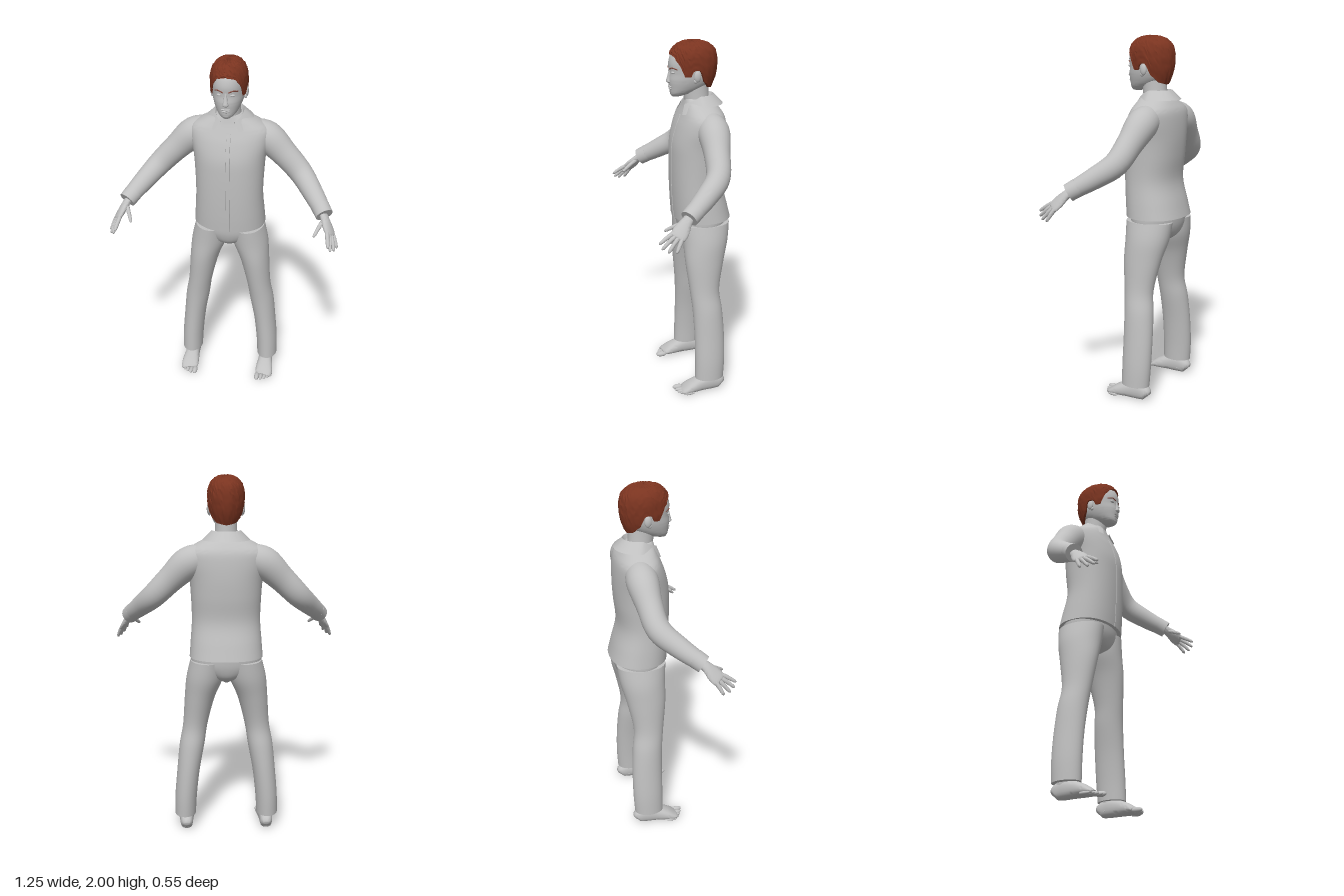
import * as THREE from 'three';
import { toCreasedNormals } from 'three/addons/utils/BufferGeometryUtils.js';

const V3 = (x, y, z) => new THREE.Vector3(x, y, z);

// Smoothly resample rows of numbers (uniform Catmull-Rom on every column).
function resample(rows, steps) {
  const out = [], at = i => rows[Math.min(Math.max(i, 0), rows.length - 1)];
  for (let i = 0; i < rows.length - 1; i++) {
    for (let k = 0; k < steps; k++) {
      const t = k / steps;
      out.push(rows[i].map((p, c) => {
        const a = at(i - 1)[c], b = at(i + 1)[c], d = at(i + 2)[c];
        return p + 0.5 * t * (b - a + t * (2 * a - 5 * p + 4 * b - d + t * (3 * (p - b) + d - a)));
      }));
    }
  }
  out.push(rows[rows.length - 1]);
  return out;
}

function buildMesh(pos, idx, crease = 0.9) {
  const g = new THREE.BufferGeometry();
  g.setAttribute('position', new THREE.Float32BufferAttribute(pos, 3));
  g.setIndex(idx);
  return toCreasedNormals(g, crease);
}

// Closed loft through rows [x, y, z, radiusA, radiusB]. Level lofts keep horizontal
// slices; the others turn each slice square to the path, with "side" as the A axis.
function loft(rows, { n = 28, steps = 5, level = false, side = null, p = 2 } = {}) {
  const r = resample(rows, steps), pos = [], idx = [];
  const pw = v => Math.sign(v) * Math.abs(v) ** (2 / p);
  r.forEach((row, i) => {
    const a = r[Math.max(i - 1, 0)], b = r[Math.min(i + 1, r.length - 1)];
    const T = level ? V3(0, 1, 0) : V3(b[0] - a[0], b[1] - a[1], b[2] - a[2]).normalize();
    const U = level ? V3(1, 0, 0) : side ? side.clone() : V3(0, 1, 0).cross(T);
    U.addScaledVector(T, -U.dot(T)).normalize();
    const W = U.clone().cross(T);
    for (let j = 0; j < n; j++) {
      const t = j / n * Math.PI * 2;
      const q = V3(row[0], row[1], row[2])
        .addScaledVector(U, row[3] * pw(Math.cos(t))).addScaledVector(W, row[4] * pw(Math.sin(t)));
      pos.push(q.x, q.y, q.z);
    }
  });
  const last = (r.length - 1) * n, c0 = r.length * n;
  pos.push(...r[0].slice(0, 3), ...r[r.length - 1].slice(0, 3));
  for (let j = 0; j < n; j++) {
    const k = (j + 1) % n;
    for (let i = 0; i < last; i += n) idx.push(i + j, i + n + j, i + k, i + k, i + n + j, i + n + k);
    idx.push(c0, j, k, c0 + 1, last + k, last + j);
  }
  return buildMesh(pos, idx);
}

const ball = (x, y, z, a, b, c) => new THREE.SphereGeometry(1, 20, 14).scale(a, b, c).translate(x, y, z);

// Short cropped hair: a dome whose lower edge follows the hairline.
function hairGeometry() {
  const line = [[0, 1.93], [0.5, 1.92], [0.85, 1.875], [1.05, 1.815], [1.3, 1.815], [1.42, 1.85],
    [1.7, 1.85], [1.9, 1.79], [2.4, 1.75], [3.15, 1.738]];
  const edge = a => {
    const i = Math.max(1, line.findIndex(l => l[0] >= a)), [p, q] = [line[i - 1], line[i]];
    return p[1] + (q[1] - p[1]) * (a - p[0]) / (q[0] - p[0]);
  };
  let seed = 7;
  const rnd = () => (seed = (seed * 16807) % 2147483647) / 2147483647;
  const n = 72, m = 22, pos = [], idx = [];
  for (let i = 0; i <= m; i++) {
    for (let j = 0; j < n; j++) {
      const a = j / n * Math.PI * 2, low = edge(Math.min(a, Math.PI * 2 - a));
      const y = low + (1.996 - low) * Math.sin(Math.max(i - 1, 0) / (m - 1) * Math.PI / 2);
      let s = y > 1.88 ? Math.max(0, 1 - ((y - 1.88) / 0.116) ** 2.5) ** 0.4 : 1 - 0.28 * ((1.88 - y) / 0.14) ** 2;
      s *= i === 0 ? 0.86 : 1 + (rnd() - 0.5) * 0.045;
      pos.push(0.1 * s * Math.sin(a), y + (i > 1 && i < m ? (rnd() - 0.5) * 0.006 : 0), -0.063 + 0.134 * s * Math.cos(a));
    }
  }
  for (let i = 0; i < m; i++) {
    for (let j = 0; j < n; j++) {
      const a = i * n + j, b = i * n + (j + 1) % n;
      idx.push(a, b, a + n, b, b + n, a + n);
    }
  }
  return buildMesh(pos, idx, 0.6);
}

// Folded shirt collar, open at the throat.
function collarGeometry() {
  const n = 48, pos = [], idx = [];
  for (let j = 0; j <= n; j++) {
    const a = 0.5 + (Math.PI * 2 - 1) * j / n, s = Math.sin(a), c = Math.cos(a), f = Math.max(0, c);
    pos.push(0.066 * s, 1.68 - 0.04 * f, -0.085 + 0.08 * c);
    pos.push(0.078 * s, 1.708 - 0.05 * f, -0.088 + 0.092 * c);
    pos.push(0.128 * s, 1.658 - 0.055 * f, -0.1 + 0.128 * c);
  }
  for (let j = 0; j < n; j++) {
    for (let k = 0; k < 2; k++) {
      const a = j * 3 + k;
      idx.push(a, a + 3, a + 1, a + 1, a + 3, a + 4);
    }
  }
  return buildMesh(pos, idx);
}

export function createModel() {
  const model = new THREE.Group();
  const paint = (name, hex, side = THREE.FrontSide) => {
    const m = new THREE.MeshStandardMaterial({ color: hex, side });
    m.name = name;
    return m;
  };
  const grey = paint('plainGrey', 0xc0c0c0, THREE.DoubleSide);
  const red = paint('auburnHair', 0x7b3420, THREE.DoubleSide);
  const browColour = paint('browBrown', 0x8a5044);
  const add = (name, geo, mat = grey) => {
    const m = new THREE.Mesh(geo, mat);
    m.name = name;
    model.add(m);
  };

  // Shirt body, collar and front placket
  const shirt = [
    [0, 1.02, -0.11, 0.202, 0.16], [0, 1.1, -0.097, 0.196, 0.153], [0, 1.22, -0.08, 0.188, 0.141],
    [0, 1.35, -0.085, 0.192, 0.147], [0, 1.45, -0.09, 0.2, 0.147], [0, 1.54, -0.1, 0.218, 0.134],
    [0, 1.6, -0.107, 0.215, 0.117], [0, 1.64, -0.103, 0.16, 0.097], [0, 1.67, -0.095, 0.1, 0.08], [0, 1.69, -0.09, 0.066, 0.07]];
  add('shirtBody', loft(shirt, { n: 48, level: true, p: 2.25 }));
  add('collar', collarGeometry());
  add('placket', loft(shirt.slice(0, 7).map(([, y, z, , d]) => [0.008, y, z + d - 0.002, 0.012, 0.005]), { n: 8, level: true, p: 4 }));

  // Trouser seat
  add('trouserSeat', loft([[0, 0.88, -0.11, 0.02, 0.06], [0, 0.915, -0.11, 0.11, 0.11],
    [0, 0.97, -0.11, 0.185, 0.133], [0, 1.03, -0.11, 0.195, 0.14]], { n: 40, level: true }));

  // Neck, head and face
  add('neck', loft([[0, 1.6, -0.1, 0.078, 0.07], [0, 1.68, -0.085, 0.062, 0.068], [0, 1.79, -0.075, 0.058, 0.072]], { level: true }));
  add('head', loft([[0, 1.703, 0.027, 0.02, 0.026], [0, 1.72, 0.002, 0.045, 0.06], [0, 1.75, -0.03, 0.066, 0.096],
    [0, 1.79, -0.05, 0.081, 0.12], [0, 1.83, -0.058, 0.087, 0.124], [0, 1.88, -0.06, 0.09, 0.13],
    [0, 1.93, -0.065, 0.086, 0.12], [0, 1.97, -0.065, 0.06, 0.085], [0, 1.985, -0.065, 0.02, 0.03]], { n: 40, level: true, p: 2.1 }));
  add('nose', loft([[0, 1.776, 0.064, 0.012, 0.01], [0, 1.784, 0.068, 0.018, 0.016], [0, 1.796, 0.067, 0.013, 0.015],
    [0, 1.825, 0.064, 0.009, 0.01], [0, 1.85, 0.062, 0.008, 0.006]], { n: 16, level: true }));
  add('upperLip', ball(0, 1.757, 0.063, 0.026, 0.006, 0.009));
  add('lowerLip', ball(0, 1.746, 0.061, 0.022, 0.007, 0.009));
  add('chin', ball(0, 1.72, 0.046, 0.024, 0.015, 0.016));
  add('hair', hairGeometry(), red);

  // Paired parts: s = 1 is the left side, s = -1 the right
  for (const s of [1, -1]) {
    const name = part => (s > 0 ? 'left' : 'right') + part;
    const limb = (part, rows, opts) => add(name(part), loft(rows.map(([x, ...rest]) => [x * s, ...rest]), opts));

    add(name('Eye'), ball(0.033 * s, 1.835, 0.054, 0.015, 0.007, 0.011));
    add(name('Brow'), new THREE.TubeGeometry(new THREE.CatmullRomCurve3(
      [V3(0.014 * s, 1.852, 0.068), V3(0.037 * s, 1.86, 0.06), V3(0.06 * s, 1.853, 0.036)]), 12, 0.0035, 6), browColour);
    add(name('Ear'), ball(0.092 * s, 1.818, -0.064, 0.011, 0.03, 0.019).rotateX(0));
    add(name('EarLobe'), ball(0.088 * s, 1.793, -0.054, 0.008, 0.012, 0.01));

    // Sleeve and cuff
    limb('Sleeve', [[0.1, 1.57, -0.12, 0.07, 0.07], [0.2, 1.538, -0.122, 0.085, 0.087], [0.3, 1.448, -0.11, 0.069, 0.073],
      [0.395, 1.352, -0.085, 0.063, 0.066], [0.468, 1.282, 0, 0.056, 0.057], [0.53, 1.222, 0.09, 0.047, 0.047]]);
    limb('Cuff', [[0.515, 1.237, 0.068, 0.05, 0.05], [0.542, 1.208, 0.11, 0.048, 0.048]], { steps: 1 });

    // Hand with four fingers and a thumb
    limb('Palm', [[0.527, 1.22, 0.09, 0.026, 0.02], [0.547, 1.193, 0.125, 0.03, 0.02], [0.567, 1.158, 0.157, 0.042, 0.018],
      [0.584, 1.13, 0.182, 0.04, 0.013], [0.587, 1.125, 0.187, 0.02, 0.006]], { n: 20, side: V3(0.55 * s, -0.45, -0.7) });
    const fingers = { Index: [0.565, 1.147, 0.2, 0.576, 1.1, 0.275], Middle: [0.577, 1.136, 0.192, 0.59, 1.076, 0.264],
      Ring: [0.588, 1.127, 0.18, 0.608, 1.062, 0.236], Little: [0.597, 1.12, 0.163, 0.622, 1.06, 0.197],
      Thumb: [0.535, 1.185, 0.142, 0.495, 1.135, 0.228] };
    for (const [part, [x, y, z, u, v, w]] of Object.entries(fingers)) {
      const row = (t, r) => [x + (u - x) * t, y + (v - y) * t + 0.008 * t * (1 - t), z + (w - z) * t, r, r];
      limb(part + 'Finger', [row(-0.3, 0.01), row(0.1, 0.0115), row(0.5, 0.0105), row(0.9, 0.008), row(1, 0.002)], { n: 12, steps: 3 });
    }

    // Trouser leg
    limb('TrouserLeg', [[0.235, 0.085, -0.103, 0.06, 0.083], [0.23, 0.2, -0.107, 0.062, 0.086], [0.215, 0.35, -0.107, 0.064, 0.086],
      [0.194, 0.5, -0.1, 0.07, 0.085], [0.174, 0.62, -0.088, 0.069, 0.085], [0.148, 0.78, -0.094, 0.084, 0.109],
      [0.118, 0.9, -0.107, 0.103, 0.127], [0.1, 1.0, -0.11, 0.098, 0.137]], { level: true, n: 32 });

    // Ankle, foot and toes
    limb('Ankle', [[0.228, 0.03, -0.125, 0.036, 0.045], [0.23, 0.08, -0.12, 0.035, 0.046], [0.232, 0.14, -0.115, 0.036, 0.045]], { level: true, n: 20 });
    limb('Foot', [[0.228, 0.03, -0.182, 0.014, 0.016], [0.228, 0.04, -0.168, 0.032, 0.038], [0.229, 0.05, -0.12, 0.038, 0.05],
      [0.23, 0.045, -0.06, 0.042, 0.045], [0.231, 0.033, 0, 0.05, 0.033], [0.231, 0.02, 0.045, 0.05, 0.018],
      [0.229, 0.016, 0.06, 0.04, 0.012]], { n: 24, side: V3(1, 0, 0), p: 2.4 });
    [[0.193, 0.106, 0.015], [0.217, 0.1, 0.011], [0.238, 0.09, 0.0105], [0.257, 0.077, 0.01], [0.274, 0.06, 0.0095]]
      .forEach(([x, z, r], i) => add(name('Toe' + (i + 1)), ball(x * s, r, z - 0.032, r, r, 0.032)));
  }
  return model;
}
